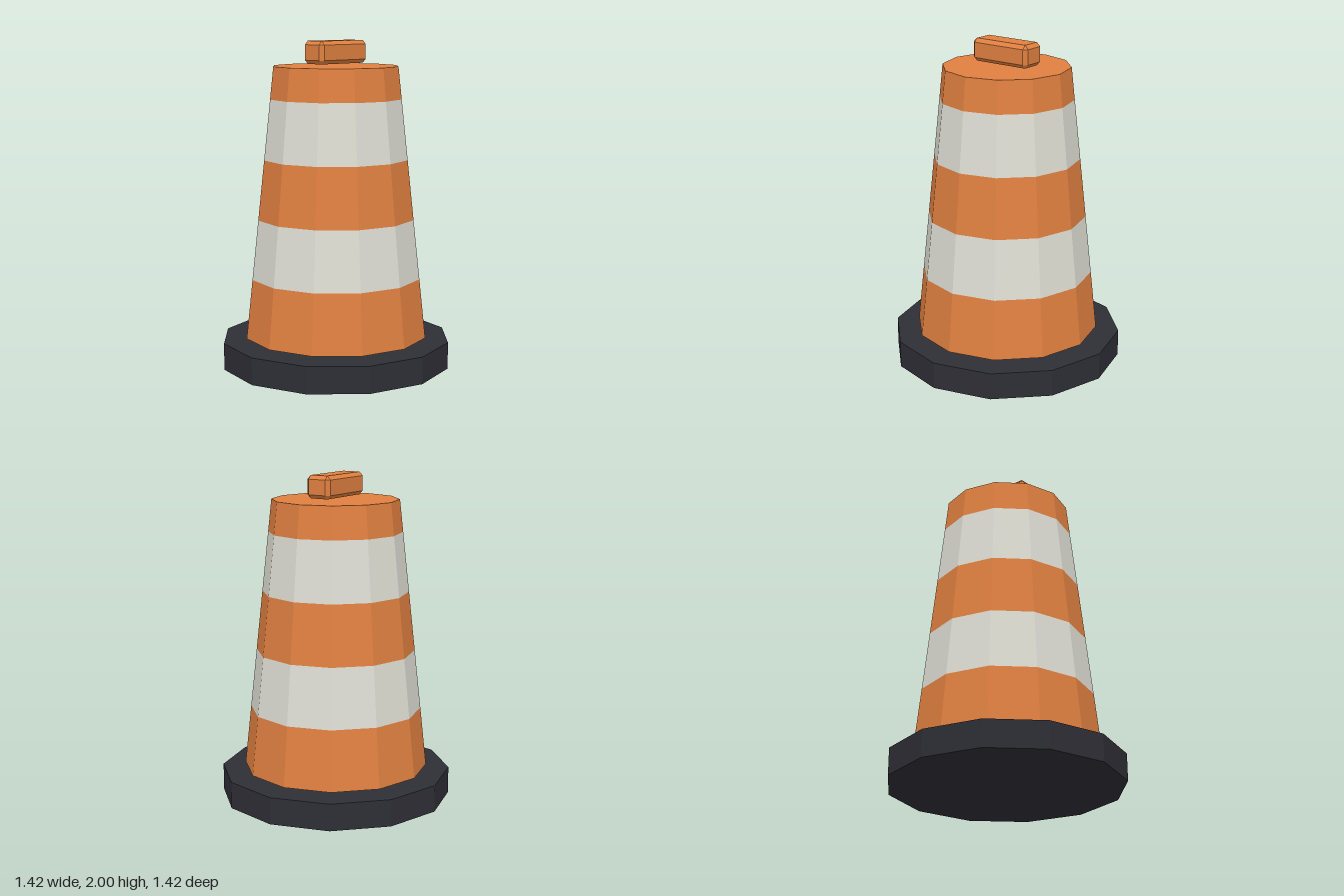
import * as THREE from 'three';
import { ConvexGeometry } from 'three/addons/geometries/ConvexGeometry.js';

const SIDES = 12;

function material(name, color) {
  const m = new THREE.MeshStandardMaterial({ color, flatShading: true });
  m.name = name;
  return m;
}

// Box with evenly cut edges and corners
function chamferedBox(w, h, d, c) {
  const points = [];
  for (const sx of [-1, 1]) for (const sy of [-1, 1]) for (const sz of [-1, 1]) {
    const x = w / 2, y = h / 2, z = d / 2;
    points.push(
      new THREE.Vector3(sx * x, sy * (y - c), sz * (z - c)),
      new THREE.Vector3(sx * (x - c), sy * y, sz * (z - c)),
      new THREE.Vector3(sx * (x - c), sy * (y - c), sz * z)
    );
  }
  return new ConvexGeometry(points);
}

export function createModel() {
  const group = new THREE.Group();
  group.name = 'trafficBarrel';
  const orange = material('safetyOrange', 0xe08040);
  const white = material('reflectiveWhite', 0xdeded4);
  const rubber = material('darkRubber', 0x2e2e36);

  const add = (name, geometry, mat, y) => {
    const mesh = new THREE.Mesh(geometry, mat);
    mesh.name = name;
    mesh.position.y = y;
    group.add(mesh);
    return mesh;
  };

  // Heavy base ring
  add('base', new THREE.CylinderGeometry(0.71, 0.71, 0.165, SIDES), rubber, 0.0825);

  // Tapered body in alternating bands
  const levels = [0.185, 0.552, 0.918, 1.284, 1.65, 1.847];
  const bottom = levels[0], top = levels[5];
  const radiusAt = (y) => THREE.MathUtils.mapLinear(y, bottom, top, 0.568, 0.388);
  for (let i = 0; i < 5; i++) {
    const y0 = levels[i], y1 = levels[i + 1];
    const band = new THREE.CylinderGeometry(radiusAt(y1), radiusAt(y0), y1 - y0, SIDES, 1, true);
    add(i % 2 ? 'whiteBand' : 'orangeBand', band, i % 2 ? white : orange, (y0 + y1) / 2);
  }

  // Caps closing the body
  add('bodyTop', new THREE.CircleGeometry(radiusAt(top), SIDES).rotateX(-Math.PI / 2), orange, top);
  add('bodyBottom', new THREE.CircleGeometry(radiusAt(bottom), SIDES).rotateX(Math.PI / 2), orange, bottom);

  // Grip just above the top
  add('handle', chamferedBox(0.405, 0.138, 0.162, 0.023), orange, 1.931);

  return group;
}
